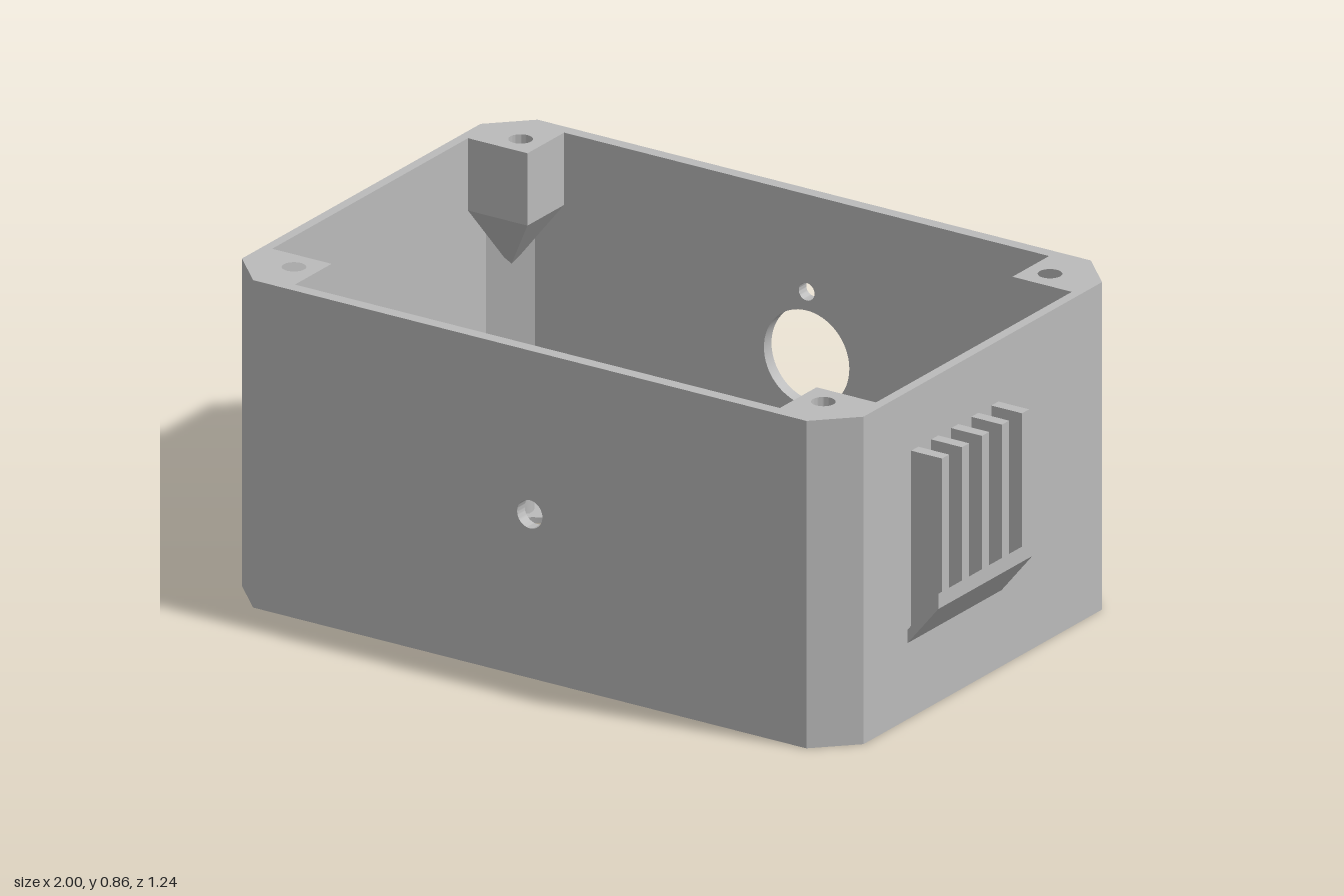
import * as THREE from 'three';
import { toCreasedNormals } from 'three/addons/utils/BufferGeometryUtils.js';
import { ConvexGeometry } from 'three/addons/geometries/ConvexGeometry.js';

const H = 0.86, FLOOR = 0.03;      // box height, floor thickness
const X = 0.91, Z = 0.62;          // outer half sizes
const IX = 0.884, IZ = 0.587;      // inner half sizes
const PORT_X = 0.382, PORT_Z = 0.038;

export function createModel() {
  const group = new THREE.Group();
  const plastic = new THREE.MeshStandardMaterial({ color: 0xbbbbbb });
  plastic.name = 'grey plastic';

  const add = (name, geometry) => {
    const mesh = new THREE.Mesh(geometry, plastic);
    mesh.name = name;
    group.add(mesh);
    return mesh;
  };
  // Shape from points, with round holes given as [x, y, radius]
  const outline = (points, holes = []) => {
    const shape = new THREE.Shape(points.map(([x, y]) => new THREE.Vector2(x, y)));
    for (const [x, y, r] of holes) {
      shape.holes.push(new THREE.Path().absarc(x, y, r, 0, Math.PI * 2, true));
    }
    return shape;
  };
  const disc = (x, y, r, bore) => {
    const shape = new THREE.Shape().absarc(x, y, r, 0, Math.PI * 2, false);
    shape.holes.push(new THREE.Path().absarc(x, y, bore, 0, Math.PI * 2, true));
    return shape;
  };
  const extrude = (shape, depth) => toCreasedNormals(
    new THREE.ExtrudeGeometry(shape, { depth, bevelEnabled: false, curveSegments: 32 }), 0.5);
  // Plan shape (x, z) raised from y0 to y1
  const raise = (shape, y0, y1) => extrude(shape, y1 - y0).rotateX(Math.PI / 2).translate(0, y1, 0);
  const box = (name, x0, x1, y0, y1, z0, z1) => add(name,
    new THREE.BoxGeometry(x1 - x0, y1 - y0, z1 - z0)
      .translate((x0 + x1) / 2, (y0 + y1) / 2, (z0 + z1) / 2));

  // Floor in two layers: wide recesses below, round ports above
  const plan = [[0.81, Z], [X, 0.52], [X, -0.52], [0.81, -Z],
    [-0.81, -Z], [-X, -0.52], [-X, 0.52], [-0.81, Z]];
  const ports = (r) => [[-PORT_X, PORT_Z, r], [PORT_X, PORT_Z, r]];
  add('floorRecessLayer', raise(outline(plan, ports(0.318)), 0, 0.013));
  add('floor', raise(outline(plan, ports(0.225)), 0.013, FLOOR));

  // Front and back walls with their openings
  const panel = [[-0.795, FLOOR], [0.795, FLOOR], [0.795, H], [-0.795, H]];
  add('frontWall', extrude(outline(panel, [[0, 0.43, 0.037]]), Z - IZ).translate(0, 0, IZ));
  add('backWall', extrude(outline(panel,
    [[0, 0.43, 0.125], [0, 0.604, 0.023], [0, 0.256, 0.023]]), Z - IZ).translate(0, 0, -Z));

  for (const s of [-1, 1]) {
    const side = s > 0 ? 'left' : 'right';

    // Side wall with its two chamfered corners
    const wall = [[0.795, Z], [0.81, Z], [X, 0.52], [X, -0.52], [0.81, -Z], [0.795, -Z],
      [0.795, -IZ], [IX, -0.505], [IX, 0.505], [0.795, IZ]];
    add(side + 'Wall', raise(outline(wall.map(([x, z]) => [s * x, z])), FLOOR, H));

    // Corner screw bosses, tapering into the chamfer
    for (const t of [-1, 1]) {
      const boss = [[0.71, 0.427], [IX, 0.427], [IX, 0.505], [0.795, IZ], [0.71, IZ]]
        .map(([x, z]) => [s * x, t * z]);
      add('screwBoss', raise(outline(boss, [[s * 0.775, t * 0.494, 0.03]]), 0.67, H));
      const taper = boss.map(([x, z]) => new THREE.Vector3(x, 0.67, z));
      taper.push(new THREE.Vector3(s * 0.845, 0.49, t * 0.555));
      add('bossTaper', new ConvexGeometry(taper));
    }

    // Ribbed side vent: sloping ledge and five upright fins
    const ledge = [[0.905, 0.2], [X, 0.2], [1, 0.31], [1, 0.35], [X, 0.235], [0.905, 0.235]];
    const fin = [[0.905, 0.225], [X, 0.225], [1, 0.34], [1, 0.7], [0.905, 0.7]];
    const mirrored = (points) => outline(points.map(([x, y]) => [s * x, y]));
    add('ventLedge', extrude(mirrored(ledge), 0.41).translate(0, 0, -0.082));
    for (let i = 0; i < 5; i++) {
      add('ventFin', extrude(mirrored(fin), 0.031).translate(0, 0, -0.068 + i * 0.0873));
    }

    // Port lip, screw standoffs and centre tab on the floor
    add('portLip', raise(disc(s * PORT_X, PORT_Z, 0.25, 0.225), FLOOR, 0.045));
    for (const [x, z] of [[0.6, -0.2], [0.165, 0.272]]) {
      add('standoff', raise(disc(s * x, z, 0.052, 0.026), FLOOR, 0.12));
    }
    const [a, b] = [s * 0.095, s * 0.155];
    box('centreTab', Math.min(a, b), Math.max(a, b), FLOOR, 0.045, -0.088, 0.157);
  }

  // Raised block from the back wall to the middle
  box('centreBlock', -0.105, 0.105, FLOOR, 0.1, -IZ, 0.007);

  return group;
}
